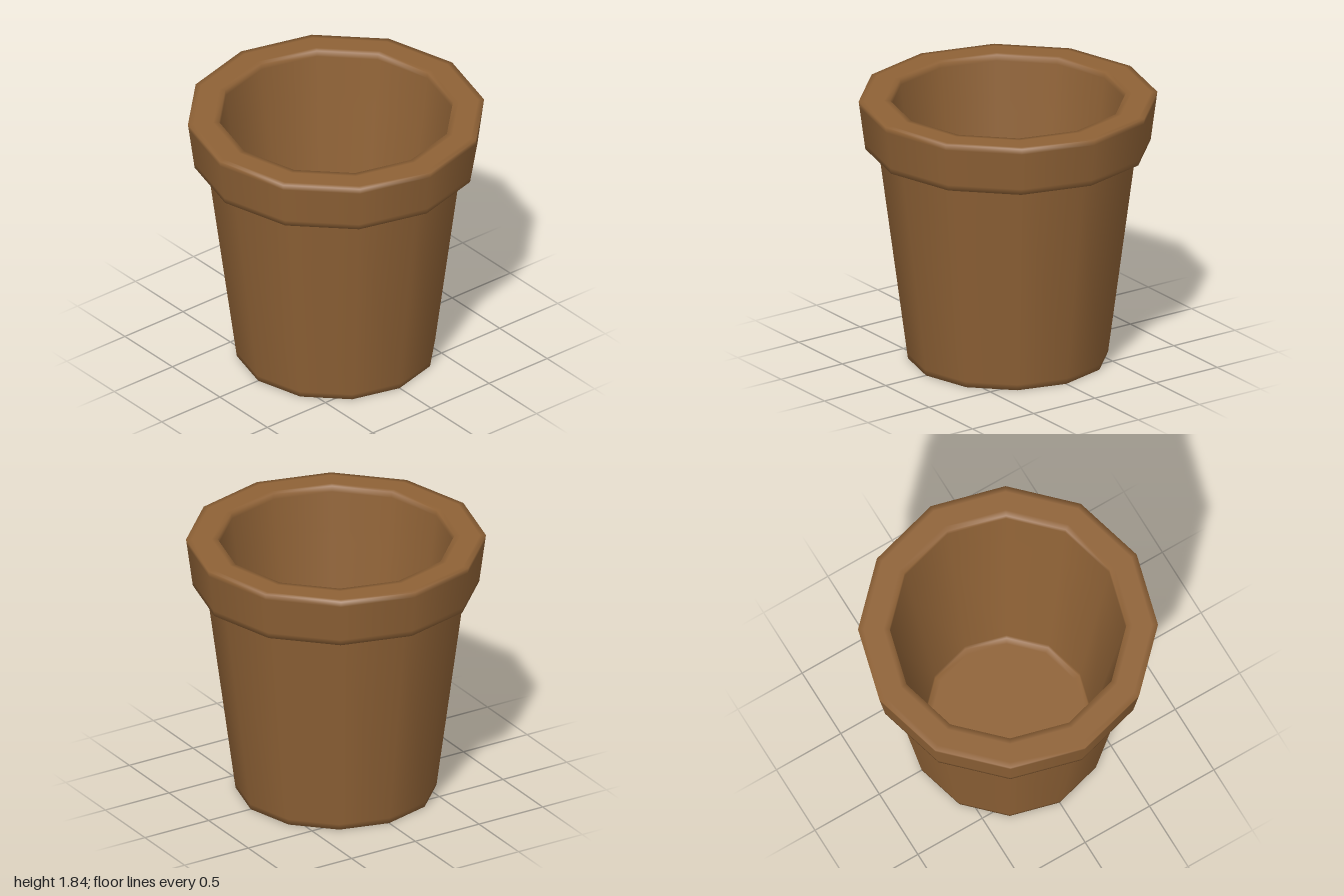
import * as THREE from 'three';

export function createModel() {
  const group = new THREE.Group();
  group.name = 'flowerPot';
  const clay = new THREE.MeshStandardMaterial({ color: 0x8f6236 });

  // Corners of the pot's wall [radius, height]: base, body, rim, inside, floor
  const corners = [
    [0, 0], [0.67, 0], [0.867, 1.5], [0.955, 1.5], [1, 1.84],
    [0.79, 1.84], [0.745, 1.5], [0.555, 0.1], [0, 0.1],
  ].map(([r, y]) => new THREE.Vector2(r, y));

  // Support loops close to each corner keep the smooth shading tight there
  const loop = 0.04;
  const profile = [];
  corners.forEach((p, i) => {
    const toward = (q) => p.clone().add(q.clone().sub(p).setLength(loop));
    const end = i === 0 || i === corners.length - 1;
    if (!end) profile.push(toward(corners[i - 1]));
    profile.push(p);
    if (!end) profile.push(toward(corners[i + 1]));
  });

  const pot = new THREE.Mesh(new THREE.LatheGeometry(profile, 12), clay);
  pot.name = 'pot';
  group.add(pot);
  return group;
}
